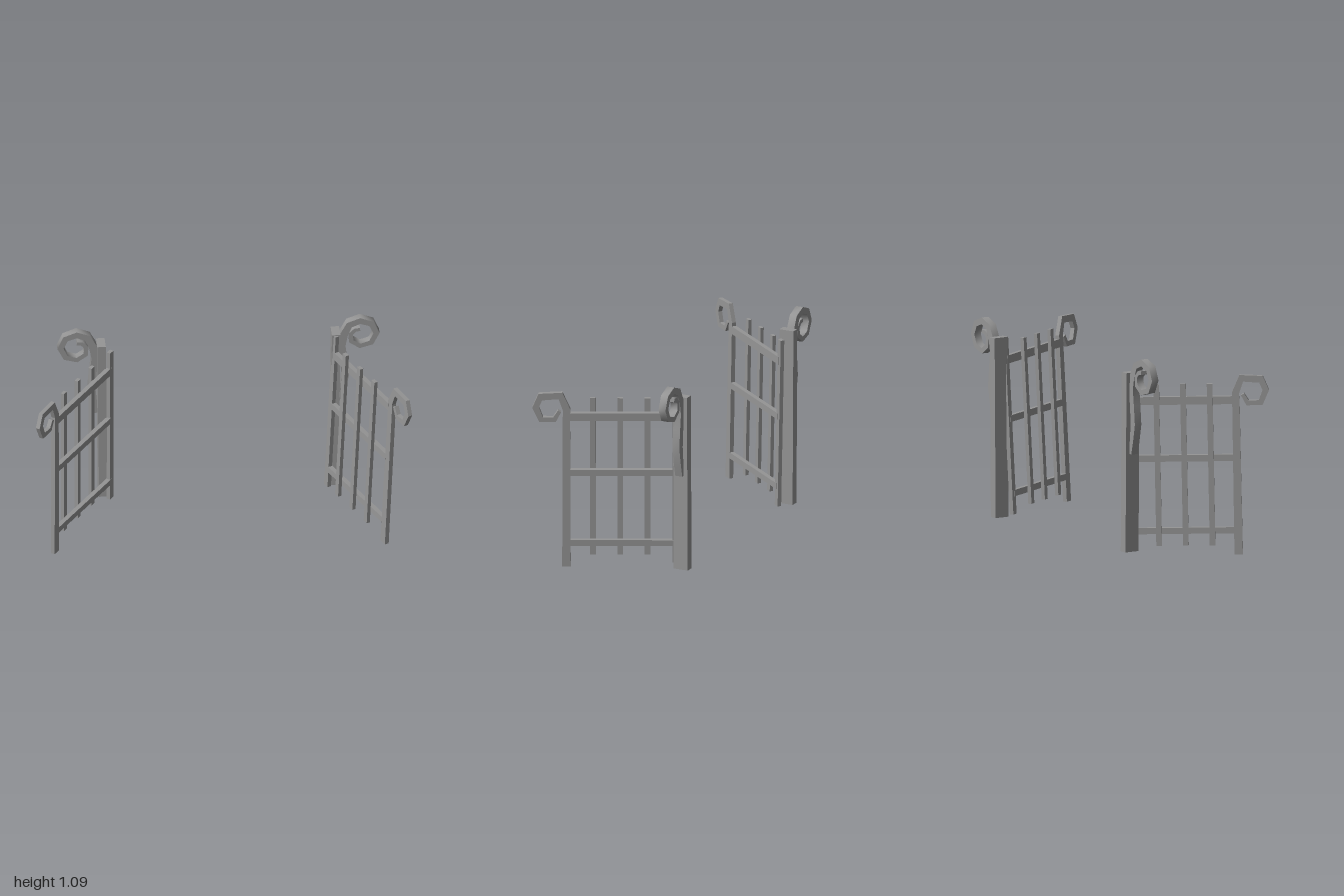
import * as THREE from 'three';
import { toCreasedNormals } from 'three/addons/utils/BufferGeometryUtils.js';

const iron = new THREE.MeshStandardMaterial({ color: 0x959595 });

function add(parent, name, geometry) {
  const mesh = new THREE.Mesh(geometry, iron);
  mesh.name = name;
  parent.add(mesh);
  return mesh;
}

function bar(parent, name, w, h, d, x, y, z) {
  add(parent, name, new THREE.BoxGeometry(w, h, d)).position.set(x, y, z);
}

// Flat bar following a centreline of [x, y, width] points, extruded in z
function ribbon(points, depth, crease) {
  const left = [], right = [];
  points.forEach(([x, y, w], i) => {
    const a = points[Math.max(i - 1, 0)];
    const b = points[Math.min(i + 1, points.length - 1)];
    const n = new THREE.Vector2(a[1] - b[1], b[0] - a[0]).normalize().multiplyScalar(w / 2);
    left.push(new THREE.Vector2(x + n.x, y + n.y));
    right.unshift(new THREE.Vector2(x - n.x, y - n.y));
  });
  const shape = new THREE.Shape([...left, ...right]);
  const geometry = new THREE.ExtrudeGeometry(shape, { depth, bevelEnabled: false });
  return toCreasedNormals(geometry.translate(0, 0, -depth / 2), crease);
}

// Gate leaf: hinge at x = 0, free end along +x, slats on the +z side
function createLeaf(name) {
  const leaf = new THREE.Group();
  leaf.name = name;
  const width = 0.585;
  bar(leaf, 'hingeStile', 0.035, 0.96, 0.022, 0, 0.515, 0);

  // Free stile ending in an angular curl
  add(leaf, 'curledStile', ribbon([
    [width, 0.013, 0.046], [width, 0.87, 0.04], [0.583, 0.91, 0.04],
    [0.617, 0.994, 0.042], [0.725, 0.987, 0.042], [0.75, 0.927, 0.036],
    [0.721, 0.857, 0.034], [0.649, 0.857, 0.03], [0.622, 0.905, 0.02],
  ], 0.024, 0.1));

  for (const [y, h] of [[0.148, 0.034], [0.552, 0.036], [0.873, 0.044]]) {
    bar(leaf, 'rail', width - 0.018, h, 0.026, width / 2 - 0.009, y, 0);
  }
  for (let i = 1; i <= 3; i++) {
    bar(leaf, 'slat', 0.031, 0.9, 0.02, (width * i) / 4 + 0.005, 0.52, 0.028);
  }
  return leaf;
}

// Post with a scroll bracket on its +x face
function createPost(name) {
  const post = new THREE.Group();
  post.name = name;
  bar(post, 'post', 0.046, 0.977, 0.084, -0.023, 0.5085, 0);

  // Swelling tail along the post, then a faceted spiral
  const points = [
    [0.01, 0.555, 0.016], [0.018, 0.62, 0.03], [0.031, 0.72, 0.04],
    [0.022, 0.82, 0.038], [0.011, 0.91, 0.038],
  ];
  const radii = [0.086, 0.083, 0.083, 0.086, 0.088, 0.085, 0.079, 0.066, 0.051, 0.036, 0.028];
  radii.forEach((r, i) => {
    const a = Math.PI - (i * Math.PI) / 4;
    points.push([0.108 + r * Math.cos(a), 0.985 + r * Math.sin(a), 0.042 - i * 0.0022]);
  });
  add(post, 'scrollBracket', ribbon(points, 0.042, 1));
  return post;
}

function place(leaf, x, y, z, dx, dz, pitch, roll, scale) {
  leaf.position.set(x, y, z);
  leaf.rotation.set(roll, Math.atan2(-dz, dx), pitch, 'YZX');
  leaf.scale.setScalar(scale);
  return leaf;
}

export function createModel() {
  const model = new THREE.Group();
  model.name = 'openGates';

  // Two sagging leaves, swung open
  model.add(place(createLeaf('leftLeaf'), 0.6, 0, -0.283, 0.447, 0.895, 0, -0.054, 1));
  model.add(place(createLeaf('rightLeaf'), -0.565, -0.024, -0.305, -0.589, 0.808, 0.018, 0.011, 0.978));

  // Posts leaning slightly outwards, scrolls facing out
  const leftPost = createPost('leftPost');
  leftPost.position.set(0.663, 0, -0.345);
  leftPost.rotation.z = -0.01;
  const rightPost = createPost('rightPost');
  rightPost.position.set(-0.624, 0, -0.345);
  rightPost.rotation.set(0, Math.PI, -0.01, 'YXZ');
  model.add(leftPost, rightPost);
  return model;
}
